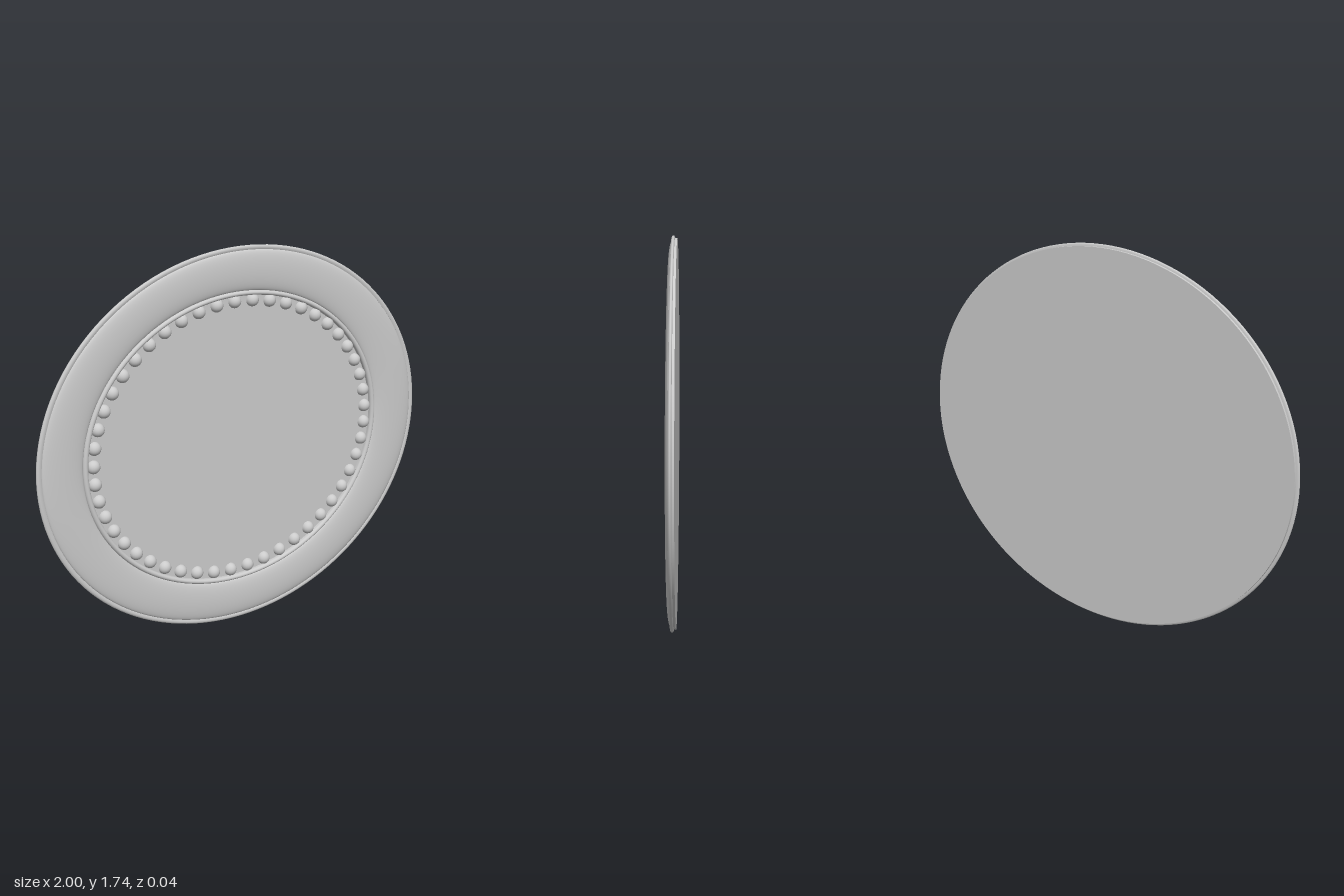
import * as THREE from 'three';

const RY = 0.8675; // height radius of the oval (width radius is 1)
const material = new THREE.MeshStandardMaterial({ color: 0xcccccc, side: THREE.DoubleSide });

// The inner opening sits slightly off centre; the shift fades out at the outer lip
const shiftAt = r => -0.014 * THREE.MathUtils.clamp((0.976 - r) / 0.2, 0, 1);

// Revolve [radius, z] pairs (back to front) about z, then squash into an oval
function ovalPart(name, profile, shifted = true) {
  const geo = new THREE.LatheGeometry(profile.map(([r, z]) => new THREE.Vector2(r, z)), 128);
  geo.rotateX(Math.PI / 2);
  const p = geo.attributes.position;
  if (shifted) {
    for (let i = 0; i < p.count; i++) {
      p.setX(i, p.getX(i) + shiftAt(Math.hypot(p.getX(i), p.getY(i))));
    }
  }
  geo.scale(1, RY, 1);
  geo.translate(0, RY, 0);
  const mesh = new THREE.Mesh(geo, material);
  mesh.name = name;
  return mesh;
}

// Points of an arch from radius r0 inward to r1, rising from z by height
function arch(r0, r1, z, height, steps) {
  return Array.from({ length: steps + 1 }, (_, i) => {
    const a = Math.PI * i / steps;
    return [(r0 + r1) / 2 + (r0 - r1) / 2 * Math.cos(a), z + height * Math.sin(a)];
  });
}

export function createModel() {
  const group = new THREE.Group();
  group.name = 'ovalFrame';

  // Flat back and its short side wall
  group.add(ovalPart('backPanel', [[0, -0.021], [0.986, -0.021]], false));
  group.add(ovalPart('backWall', [[0.986, -0.021], [0.986, -0.01]], false));

  // Rounded outer lip
  group.add(ovalPart('outerLip', [
    [0.984, -0.011], [0.994, -0.01], [0.999, -0.007], [1, -0.003],
    [0.998, 0.001], [0.992, 0.004], [0.984, 0.004], [0.977, 0.001],
  ], false));

  // Wide domed border
  group.add(ovalPart('border', arch(0.977, 0.774, 0, 0.017, 20)));

  // Thin rounded ring round the opening, with walls down to the panel
  group.add(ovalPart('innerRing', [[0.775, -0.01], ...arch(0.775, 0.75, 0, 0.0125, 10), [0.75, -0.01]]));

  // Recessed flat face
  group.add(ovalPart('facePanel', [[0.775, -0.009], [0, -0.009]]));

  // Row of beads just inside the ring
  const beads = new THREE.Group();
  beads.name = 'beads';
  const beadGeo = new THREE.SphereGeometry(0.03, 20, 14);
  const count = 49;
  for (let i = 0; i < count; i++) {
    const a = THREE.MathUtils.degToRad(2.7) + i / count * Math.PI * 2;
    const bead = new THREE.Mesh(beadGeo, material);
    bead.name = 'bead';
    bead.position.set(-0.014 + 0.72 * Math.cos(a), 0.871 + 0.625 * Math.sin(a), -0.009);
    // Flatten the hidden half so it stays inside the back
    bead.scale.z = 0.99;
    beads.add(bead);
  }
  // Only the front half of each bead shows
  beadGeo.attributes.position.array.forEach((v, i, arr) => {
    if (i % 3 === 2 && v < 0) arr[i] = v * 0.3;
  });
  beadGeo.computeVertexNormals();
  group.add(beads);

  return group;
}
